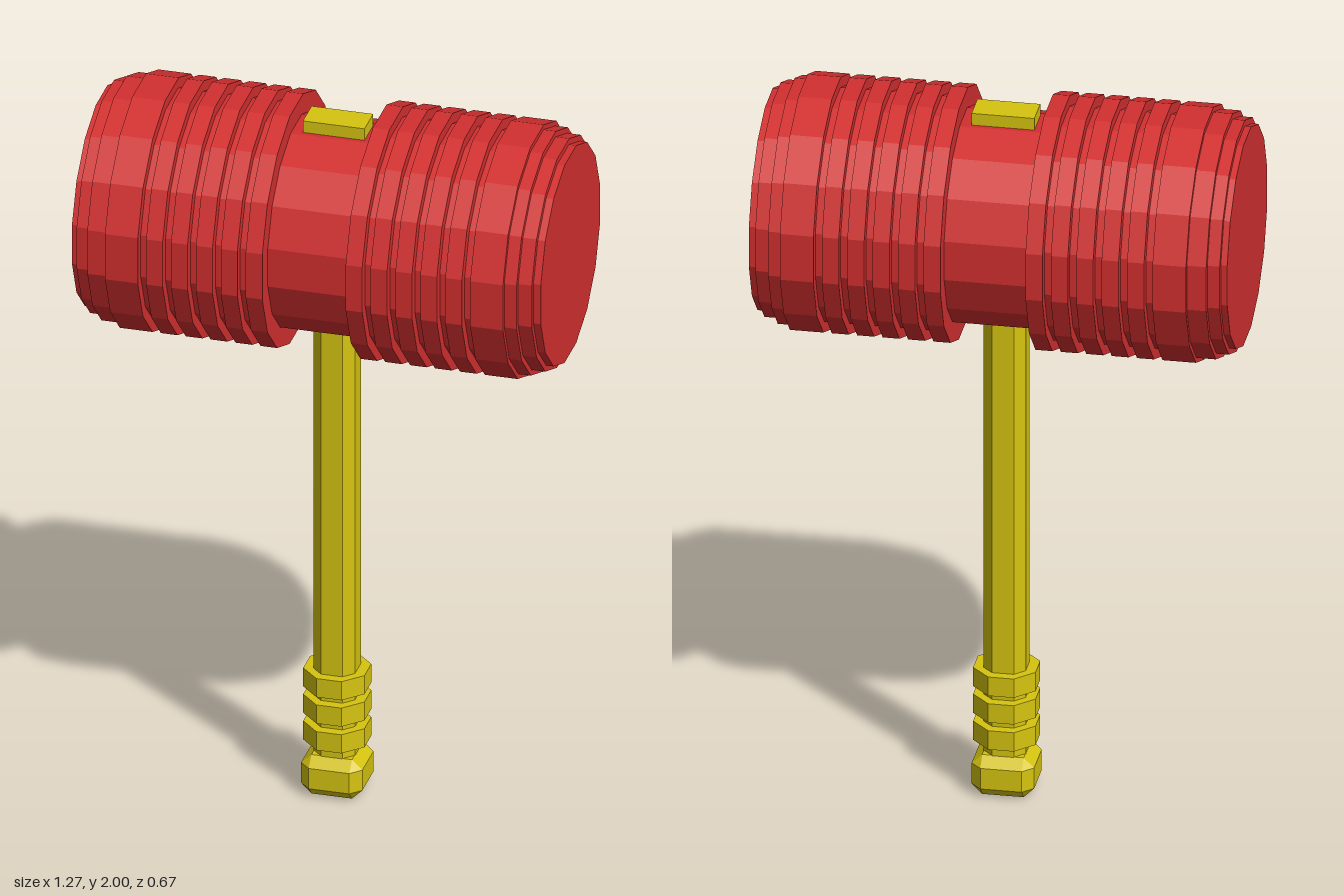
import * as THREE from 'three';

const red = new THREE.MeshStandardMaterial({ color: 0xd32f2f });
red.name = 'red plastic';
const yellow = new THREE.MeshStandardMaterial({ color: 0xd6c410 });
yellow.name = 'yellow plastic';

// Flat-faced mesh with a name
function part(name, geometry, material) {
  const flat = geometry.index ? geometry.toNonIndexed() : geometry;
  flat.computeVertexNormals();
  const mesh = new THREE.Mesh(flat, material);
  mesh.name = name;
  return mesh;
}

// Closed loft through chamfered squares, each given as [y, half width, half flat]
function chamferedLoft(sections) {
  const positions = [];
  const rings = sections.map(([y, h, f]) =>
    [[h, -f], [h, f], [f, h], [-f, h], [-h, f], [-h, -f], [-f, -h], [f, -h]]
      .map(([x, z]) => [x, y, z]));
  const tri = (a, b, c) => positions.push(...a, ...b, ...c);
  for (let s = 0; s < rings.length - 1; s++) {
    const lo = rings[s], hi = rings[s + 1];
    for (let i = 0; i < 8; i++) {
      const j = (i + 1) % 8;
      tri(lo[i], hi[i], hi[j]);
      tri(lo[i], hi[j], lo[j]);
    }
  }
  const first = rings[0], last = rings[rings.length - 1];
  for (let i = 1; i < 7; i++) {
    tri(first[0], first[i], first[i + 1]);
    tri(last[0], last[i + 1], last[i]);
  }
  const geometry = new THREE.BufferGeometry();
  geometry.setAttribute('position', new THREE.Float32BufferAttribute(positions, 3));
  return geometry;
}

// Half of the head profile as [distance from waist, flat radius], waist to end
function halfProfile(steps) {
  const waist = 0.282, groove = 0.308, ridge = 0.336;
  const points = [[0.113, waist]];
  for (let k = 0; k < 5; k++) {
    const x = 0.113 + 0.0675 * k;
    points.push([x, ridge], [x + 0.045, ridge], [x + 0.045, groove], [x + 0.0675, groove]);
  }
  points.push([0.4505, ridge], [0.5395, ridge]);
  // Stepped shoulders down to the striking face
  let x = 0.5395;
  [0.323, 0.308, 0.292].forEach((r, i) => {
    points.push([x, r], [steps[i], r]);
    x = steps[i];
  });
  points.push([x, 0]);
  return points;
}

function createModel() {
  const model = new THREE.Group();
  model.name = 'toy mallet';
  const axisX = 0.004;

  // Ribbed sixteen-sided head, turned to lie along x
  const profile = [
    ...halfProfile([0.591, 0.624, 0.641]).reverse().map(([x, r]) => [-x, r]),
    ...halfProfile([0.573, 0.61, 0.63]),
  ].map(([x, r]) => new THREE.Vector2(r / Math.cos(Math.PI / 16), x));
  const headGeometry = new THREE.LatheGeometry(profile, 16, Math.PI / 16);
  headGeometry.rotateZ(-Math.PI / 2);
  const head = part('head', headGeometry, red);
  head.position.set(axisX, 1.664, 0);
  model.add(head);

  // Handle tip showing through the top of the head
  const tip = part('handleTip', new THREE.BoxGeometry(0.167, 0.1, 0.086), yellow);
  tip.position.set(axisX, 1.93, 0);
  model.add(tip);

  // Handle with grip rings and bevelled end knob
  const handle = new THREE.Group();
  handle.name = 'handle';
  handle.position.x = axisX - 0.002;
  handle.add(part('shaft', chamferedLoft([[0.1, 0.056, 0.029], [1.45, 0.056, 0.029]]), yellow));
  [0.145, 0.224, 0.302].forEach((y) => {
    handle.add(part('gripRing', chamferedLoft([[y, 0.083, 0.034], [y + 0.055, 0.083, 0.034]]), yellow));
  });
  handle.add(part('endKnob', chamferedLoft([
    [0, 0.055, 0.055], [0.028, 0.083, 0.055], [0.088, 0.083, 0.055], [0.115, 0.055, 0.055],
  ]), yellow));
  model.add(handle);

  return model;
}

export { createModel };
